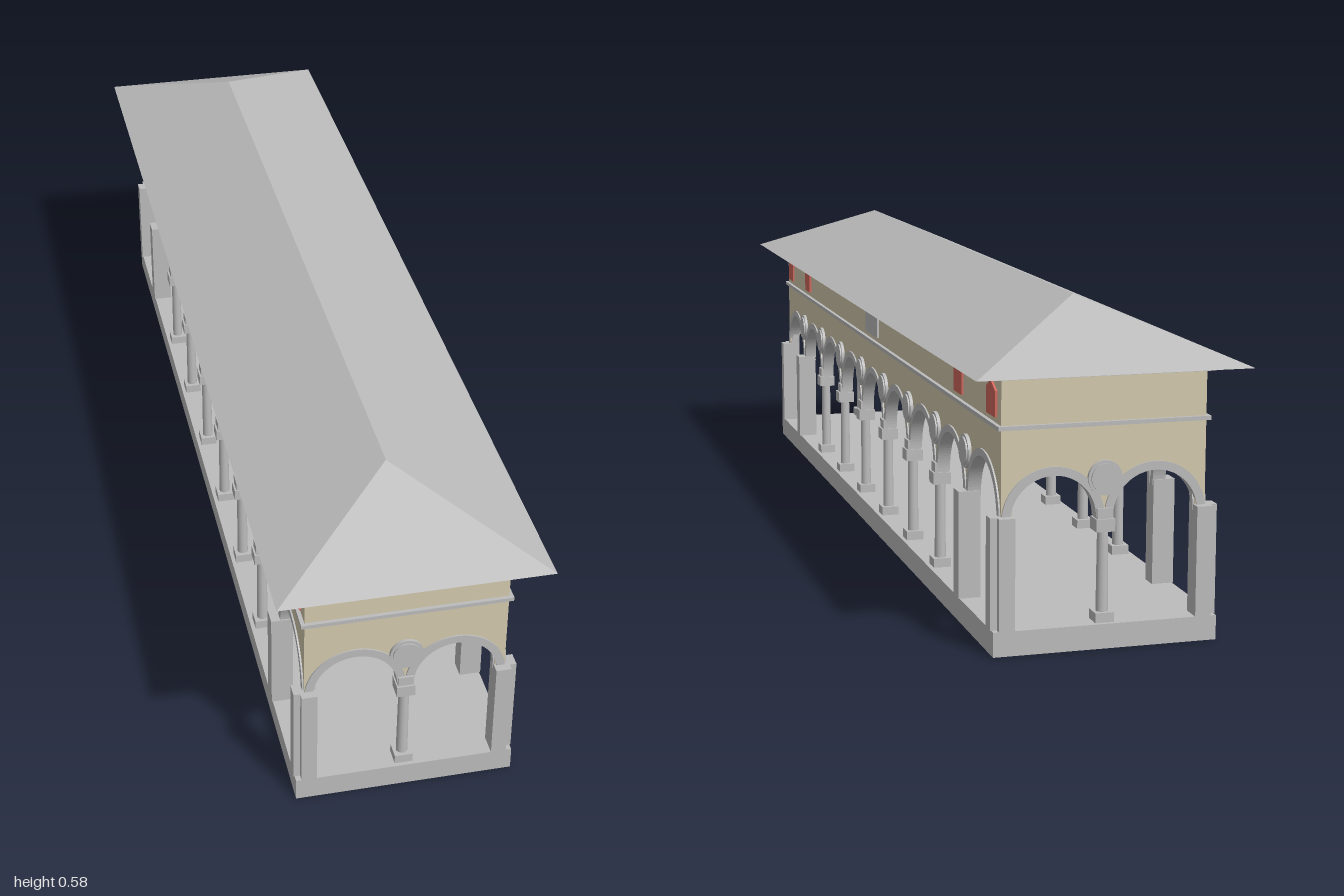
import * as THREE from 'three';

const stone = new THREE.MeshStandardMaterial({ name: 'grey stone', color: 0xbcbcbc });
const plaster = new THREE.MeshStandardMaterial({ name: 'tan plaster', color: 0xd3c9ad });
const red = new THREE.MeshStandardMaterial({ name: 'red shield', color: 0xd0695e });

const SPRING = 0.225, FLOOR = 0.043, WALL_TOP = 0.466, THICK = 0.018;

function add(parent, name, geometry, material, x = 0, y = 0, z = 0) {
  const mesh = new THREE.Mesh(geometry, material);
  mesh.name = name;
  mesh.position.set(x, y, z);
  parent.add(mesh);
  return mesh;
}

// Box given by its lower and upper height
function block(parent, name, w, y0, y1, d, x, z, material = stone) {
  return add(parent, name, new THREE.BoxGeometry(w, y1 - y0, d), material, x, (y0 + y1) / 2, z);
}

function extrude(shape, depth) {
  return new THREE.ExtrudeGeometry(shape, { depth, bevelEnabled: false, curveSegments: 24 });
}

// Wall with a row of round arches cut from its lower edge
function arcadeWall(half, centres, radius) {
  const s = new THREE.Shape();
  s.moveTo(-half, SPRING);
  for (const c of centres) {
    s.lineTo(c - radius, SPRING);
    s.absarc(c, SPRING, radius, Math.PI, 0, true);
  }
  s.lineTo(half, SPRING);
  s.lineTo(half, WALL_TOP);
  s.lineTo(-half, WALL_TOP);
  return extrude(s, THICK);
}

// Half-ring stone trim around an arch
function archTrim(inner, outer) {
  const s = new THREE.Shape();
  s.absarc(0, 0, outer, 0, Math.PI, false);
  s.absarc(0, 0, inner, Math.PI, 0, true);
  return extrude(s, THICK + 0.006);
}

function column(parent, x, z) {
  const g = new THREE.Group();
  g.name = 'column';
  g.position.set(x, 0, z);
  parent.add(g);
  block(g, 'columnBase', 0.033, FLOOR, 0.06, 0.033, 0, 0);
  add(g, 'columnShaft', new THREE.CylinderGeometry(0.0095, 0.0105, 0.14, 16), stone, 0, 0.13, 0);
  block(g, 'capital', 0.033, 0.2, 0.222, 0.033, 0, 0);
  block(g, 'impost', 0.028, 0.222, 0.24, 0.026, 0, 0);
}

function medallion(parent, x, y, z, r) {
  const rim = add(parent, 'medallionRim', new THREE.CylinderGeometry(r, r, 0.006, 32), stone, x, y, z + 0.003);
  const disc = add(parent, 'medallionDisc', new THREE.CylinderGeometry(r * 0.83, r * 0.83, 0.009, 32), stone, x, y, z + 0.0045);
  rim.rotation.x = disc.rotation.x = Math.PI / 2;
}

// One arcaded side facing +z, its outer face at distance dist
function facade(name, half, dist, bays, pitch, inner, outer, medY, medR) {
  const g = new THREE.Group();
  g.name = name;
  const centres = Array.from({ length: bays }, (_, i) => (i - (bays - 1) / 2) * pitch);
  add(g, 'arcadeWall', arcadeWall(half, centres, inner + 0.005), plaster, 0, 0, dist - THICK);
  const trim = archTrim(inner, outer);
  for (const c of centres) add(g, 'archTrim', trim, stone, c, SPRING, dist - THICK - 0.003);
  for (let i = 0; i < bays - 1; i++) {
    const x = centres[i] + pitch / 2;
    const isPier = bays > 2 && (i === 0 || i === bays - 2);
    if (isPier) block(g, 'innerPier', 0.034, FLOOR, 0.235, 0.04, x, dist);
    else column(g, x, dist - 0.006);
    medallion(g, x, medY, dist, medR);
  }
  block(g, 'stringCourse', half * 2 + 0.012, 0.381, 0.388, 0.01, 0, dist + 0.002);
  return g;
}

// Painted shields and the central plaque of a long side
function ornaments(g, dist) {
  const s = new THREE.Shape();
  s.moveTo(-0.027, 0.398);
  s.lineTo(0.027, 0.398);
  s.lineTo(0.027, 0.443);
  s.lineTo(0, 0.457);
  s.lineTo(-0.027, 0.443);
  const shield = extrude(s, 0.004);
  for (const x of [-0.887, -0.678, 0.678, 0.887]) add(g, 'shield', shield, red, x, 0, dist);
  block(g, 'plaque', 0.106, 0.398, 0.457, 0.008, 0, dist, stone);
}

// Hipped roof with a flat underside
function roofGeometry() {
  const X = 0.24, Z = 1, R = 0.762, y0 = 0.476, y1 = 0.578;
  const a = [-X, y0, Z], b = [X, y0, Z], c = [X, y0, -Z], d = [-X, y0, -Z];
  const e = [0, y1, R], f = [0, y1, -R];
  const faces = [[a, b, e], [c, d, f], [b, c, f], [b, f, e], [d, a, e], [d, e, f], [a, d, c], [a, c, b]];
  const geo = new THREE.BufferGeometry();
  geo.setAttribute('position', new THREE.Float32BufferAttribute(faces.flat(2), 3));
  geo.computeVertexNormals();
  return geo;
}

export function createModel() {
  const model = new THREE.Group();
  model.name = 'arcadedHall';
  block(model, 'plinth', 0.396, 0, FLOOR, 1.91, 0, 0);

  for (const k of [0, 1]) {
    const end = facade(k ? 'backFacade' : 'frontFacade', 0.18, 0.937, 2, 0.18, 0.075, 0.09, 0.292, 0.03);
    end.rotation.y = k * Math.PI;
    const side = facade(k ? 'rightFacade' : 'leftFacade', 0.937, 0.18, 9, 0.208, 0.09, 0.103, 0.304, 0.03);
    ornaments(side, 0.18);
    side.rotation.y = Math.PI / 2 + k * Math.PI;
    model.add(end, side);
  }

  // Stepped corner piers
  for (const sx of [-1, 1]) for (const sz of [-1, 1]) {
    block(model, 'cornerPier', 0.028, FLOOR, 0.235, 0.038, sx * 0.174, sz * 0.936);
    block(model, 'cornerPierSide', 0.04, FLOOR, 0.235, 0.026, sx * 0.18, sz * 0.93);
  }

  block(model, 'ceiling', 0.33, 0.335, 0.345, 1.85, 0, 0, plaster);
  block(model, 'cornice', 0.386, 0.465, 0.4755, 1.89, 0, 0);
  add(model, 'roof', roofGeometry(), stone);
  return model;
}
